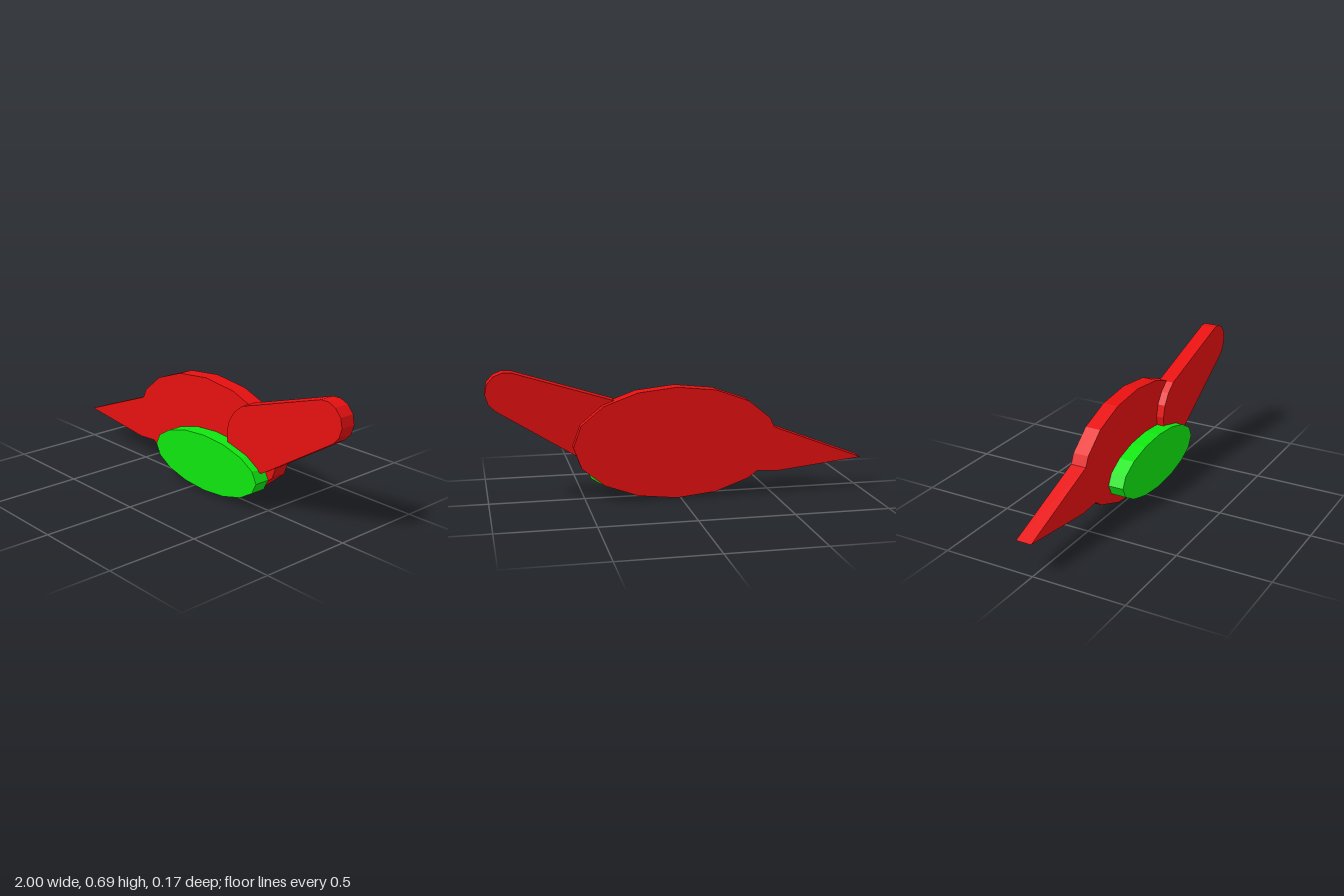
import * as THREE from 'three';

const red = new THREE.MeshStandardMaterial({ color: 0xe81010 });
red.name = 'red';
const green = new THREE.MeshStandardMaterial({ color: 0x10e810 });
green.name = 'green';

const THICKNESS = 0.085;

// Points of a 16-sided ellipse from step "from" to step "to"
function ellipse(cx, cy, rx, ry, from = 0, to = 15) {
  const points = [];
  for (let i = from; i <= to; i++) {
    const a = (i * Math.PI) / 8;
    points.push([cx + rx * Math.cos(a), cy + ry * Math.sin(a)]);
  }
  return points;
}

// Flat slab with its back face at z
function slab(name, points, z, material) {
  const shape = new THREE.Shape(points.map(([x, y]) => new THREE.Vector2(x, y)));
  const geometry = new THREE.ExtrudeGeometry(shape, { depth: THICKNESS, bevelEnabled: false });
  geometry.translate(0, 0, z);
  const mesh = new THREE.Mesh(geometry, material);
  mesh.name = name;
  return mesh;
}

export function createModel() {
  const model = new THREE.Group();
  model.name = 'flatBird';

  // Oval body running into a pointed tail
  const oval = [0.018, 0.298, 0.545, 0.297];
  const bodyOutline = [
    ...ellipse(...oval, 0, 7),
    [-0.51, 0.36], [-1, 0.172], [-0.54, 0.12], [-0.42, 0.127],
    ...ellipse(...oval, 10, 15),
  ];
  model.add(slab('bodyAndTail', bodyOutline, -THICKNESS, red));

  // Neck and head, rounded at both ends
  const neckOutline = [
    [0.545, 0.245], [0.95, 0.498], [0.985, 0.535], [1, 0.585], [0.99, 0.635],
    [0.955, 0.675], [0.91, 0.693], [0.865, 0.692], [0.34, 0.528], [0.285, 0.485],
    [0.245, 0.425], [0.23, 0.36], [0.235, 0.31], [0.27, 0.25], [0.33, 0.215],
    [0.41, 0.203], [0.49, 0.212],
  ];
  model.add(slab('neckAndHead', neckOutline, -THICKNESS / 2, red));

  // Green oval wing on the front
  model.add(slab('wing', ellipse(0.1, 0.165, 0.393, 0.154), 0, green));

  return model;
}
